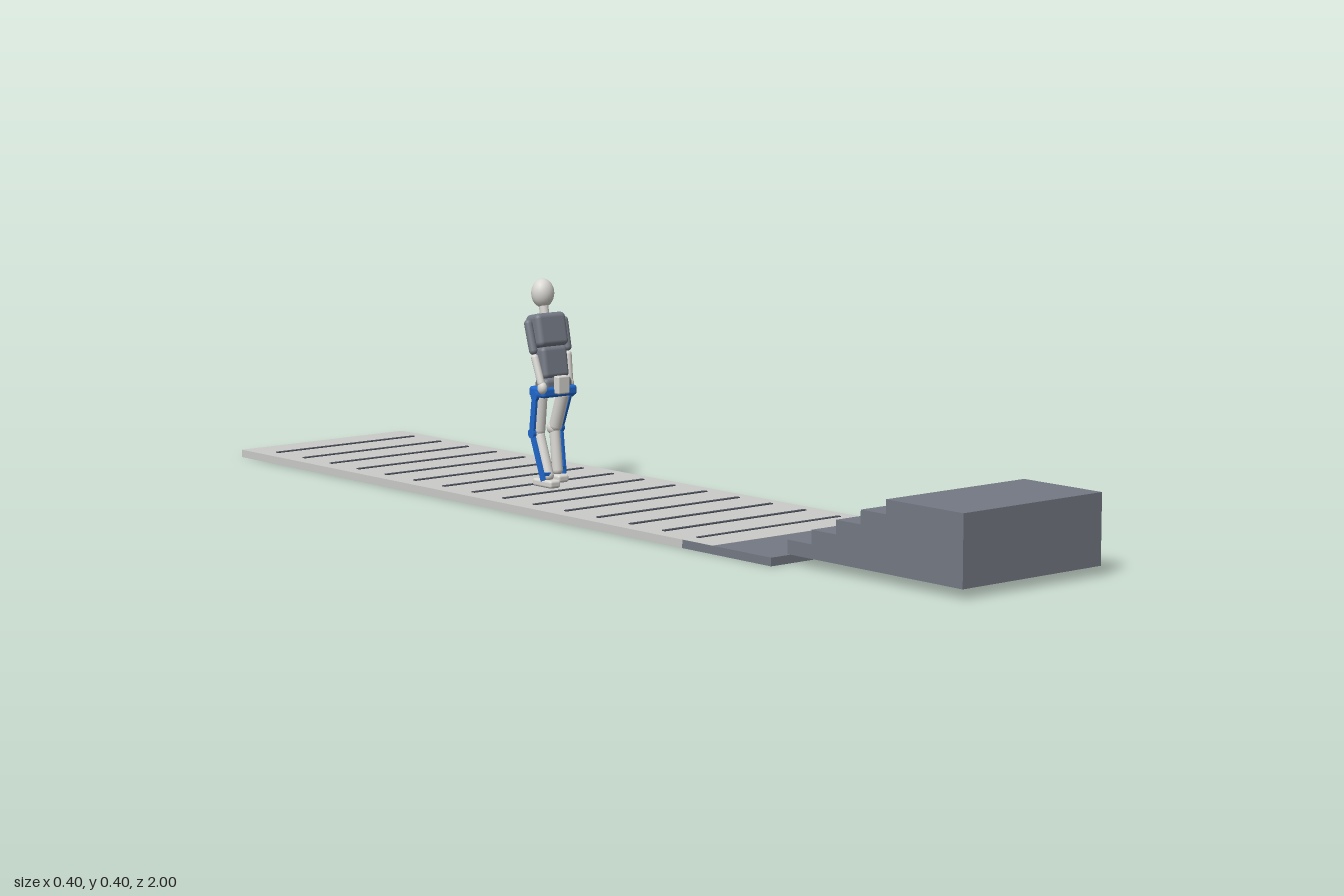
import * as THREE from 'three';
import { RoundedBoxGeometry } from 'three/addons/geometries/RoundedBoxGeometry.js';

const mat = (name, color) => {
  const m = new THREE.MeshStandardMaterial({ color });
  m.name = name;
  return m;
};

export function createModel() {
  const slate = mat('slate', 0x747984);
  const floorGrey = mat('floor grey', 0xcbcbc9);
  const pale = mat('pale grey', 0xd9d7d2);
  const blue = mat('blue', 0x2068cc);
  const stripeGrey = mat('stripe grey', 0x50545e);

  const model = new THREE.Group();
  const add = (parent, name, geometry, material, x = 0, y = 0, z = 0) => {
    const mesh = new THREE.Mesh(geometry, material);
    mesh.name = name;
    mesh.position.set(x, y, z);
    parent.add(mesh);
    return mesh;
  };
  // Axis-aligned box given by its z and y ranges
  const slab = (parent, name, w, y0, y1, z0, z1, material) =>
    add(parent, name, new THREE.BoxGeometry(w, y1 - y0, z1 - z0), material, 0, (y0 + y1) / 2, (z0 + z1) / 2);
  const block = (parent, name, w, h, d, r, material, x, y, z, tilt = 0) => {
    const mesh = add(parent, name, new RoundedBoxGeometry(w, h, d, 4, r), material, x, y, z);
    mesh.rotation.x = tilt;
    return mesh;
  };
  const up = new THREE.Vector3(0, 1, 0);
  // Place a part that stands along y so that it runs from a to b
  const span = (parent, name, makeGeometry, material, a, b) => {
    const p = new THREE.Vector3(...a), q = new THREE.Vector3(...b);
    const dir = q.clone().sub(p);
    const mesh = add(parent, name, makeGeometry(dir.length()), material);
    mesh.position.copy(p).add(q).multiplyScalar(0.5);
    mesh.quaternion.setFromUnitVectors(up, dir.normalize());
    return mesh;
  };
  const capsule = (r) => (len) => new THREE.CapsuleGeometry(r, Math.max(len - 2 * r, 0.001), 6, 16);
  const bar = (w, d) => (len) => new THREE.BoxGeometry(w, len, d);
  const ball = (r) => new THREE.SphereGeometry(r, 20, 14);

  // Walkway, with its light surface lapping over the dark landing
  const walkway = new THREE.Group();
  walkway.name = 'walkway';
  model.add(walkway);
  slab(walkway, 'floor', 0.4, 0, 0.015, -1, 0.35, floorGrey);
  slab(walkway, 'landing', 0.4, 0, 0.015, 0.35, 0.58, slate);
  slab(walkway, 'floorOverlap', 0.4, 0.015, 0.0154, 0.35, 0.43, floorGrey);
  for (let i = 0; i < 15; i++) {
    const z = -0.92 + i * 0.0911;
    slab(walkway, 'floorStripe', 0.34, 0.0145, 0.017, z - 0.004, z + 0.004, stripeGrey);
  }

  // Staircase as one extruded side profile
  const profile = new THREE.Shape();
  profile.moveTo(0.58, 0.017);
  for (let i = 0; i < 5; i++) {
    const z = 0.58 + i * 0.06, y = 0.042 + i * 0.025;
    profile.lineTo(z, y);
    profile.lineTo(i === 4 ? 1 : z + 0.06, y);
  }
  profile.lineTo(1, 0.017);
  const stairs = new THREE.ExtrudeGeometry(profile, { depth: 0.326, bevelEnabled: false });
  stairs.translate(0, 0, -0.163);
  stairs.rotateY(-Math.PI / 2);
  add(model, 'staircase', stairs, slate);

  // Walking figure, heading towards -z
  const figure = new THREE.Group();
  figure.name = 'figure';
  model.add(figure);
  const cx = 0.005;
  const head = add(figure, 'head', ball(1), pale, cx + 0.001, 0.377, -0.291);
  head.scale.set(0.0225, 0.0275, 0.021);
  span(figure, 'neck', (l) => new THREE.CylinderGeometry(0.009, 0.009, l, 16), pale,
    [cx, 0.33, -0.283], [cx, 0.362, -0.289]);
  block(figure, 'chest', 0.071, 0.064, 0.042, 0.01, slate, cx, 0.308, -0.277, -0.2);
  block(figure, 'abdomen', 0.061, 0.061, 0.036, 0.009, slate, cx, 0.248, -0.266, -0.15);
  block(figure, 'pelvis', 0.067, 0.03, 0.036, 0.009, slate, cx, 0.206, -0.258);
  block(figure, 'hipBelt', 0.083, 0.02, 0.046, 0.006, blue, 0.0035, 0.195, -0.258);
  block(figure, 'powerPack', 0.028, 0.034, 0.016, 0.003, pale, 0.002, 0.209, -0.23);

  // Per-side joint positions: leading leg on +x, trailing leg on -x
  const sides = [
    { s: 1, knee: [0.118, -0.287], ankle: [0.036, -0.277], elbow: -0.268, hand: -0.262 },
    { s: -1, knee: [0.116, -0.267], ankle: [0.036, -0.234], elbow: -0.262, hand: -0.24 },
  ];
  for (const { s, knee, ankle, elbow, hand } of sides) {
    const leg = new THREE.Group();
    leg.name = s > 0 ? 'leftLeg' : 'rightLeg';
    figure.add(leg);
    const x = 0.0025 + s * 0.0275;
    const hip = [0.188, -0.258];
    span(leg, 'thigh', capsule(0.0125), pale, [x, hip[0] + 0.008, hip[1]], [x, knee[0] - 0.006, knee[1]]);
    add(leg, 'knee', ball(0.0135), pale, x, knee[0], knee[1] - 0.002);
    span(leg, 'shin', capsule(0.0105), pale, [x, knee[0] + 0.004, knee[1]], [x, ankle[0] - 0.008, ankle[1]]);
    block(leg, 'foot', 0.026, 0.015, 0.056, 0.005, pale, x, 0.0232, ankle[1] - 0.009);

    // Blue leg brace along the outer side
    const bx = 0.0025 + s * 0.0425;
    span(leg, 'thighBrace', bar(0.005, 0.013), blue, [bx, hip[0] + 0.004, hip[1]], [bx, ...knee]);
    span(leg, 'shinBrace', bar(0.005, 0.011), blue, [bx, ...knee], [bx, ankle[0] - 0.006, ankle[1]]);
    for (const [name, p] of [['hipJoint', hip], ['kneeJoint', knee]]) {
      const disc = add(leg, name, new THREE.CylinderGeometry(0.009, 0.009, 0.007, 20), blue, bx, p[0], p[1]);
      disc.rotation.z = Math.PI / 2;
    }
    const cuffX = 0.0025 + s * 0.036;
    add(leg, 'ankleCuff', new THREE.BoxGeometry(0.016, 0.006, 0.011), blue, cuffX, ankle[0] + 0.006, ankle[1]);

    const arm = new THREE.Group();
    arm.name = s > 0 ? 'leftArm' : 'rightArm';
    figure.add(arm);
    const ax = 0.0045 + s * 0.0435;
    span(arm, 'upperArm', capsule(0.008), slate, [ax, 0.331, -0.281], [ax, 0.266, elbow]);
    span(arm, 'forearm', capsule(0.007), pale, [ax, 0.267, elbow], [ax - s * 0.001, 0.208, hand]);
    const palm = add(arm, 'hand', ball(1), pale, ax - s * 0.002, 0.205, hand);
    palm.scale.set(0.009, 0.012, 0.01);
  }
  return model;
}
